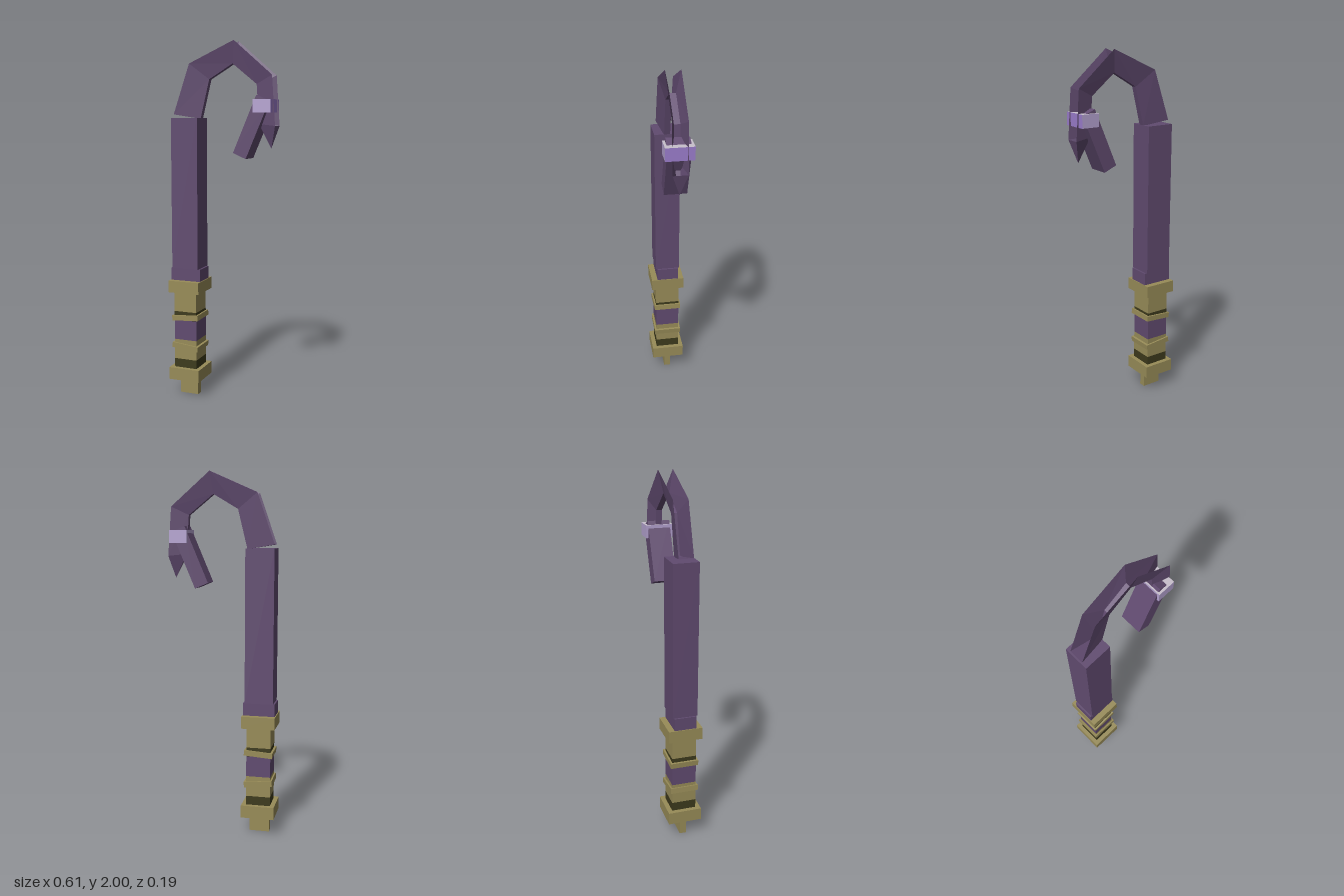
import * as THREE from 'three';

const mat = (name, color, extra = {}) => {
  const m = new THREE.MeshStandardMaterial({ color, ...extra });
  m.name = name;
  return m;
};

export function createModel() {
  const purple = mat('purple', 0x614b70);
  const hookPurple = mat('hookPurple', 0x614b70, { side: THREE.DoubleSide, flatShading: true });
  const gold = mat('gold', 0x988c58);
  const dark = mat('darkBronze', 0x3d3a1c);
  const lilac = mat('lilac', 0xb5a3d1);
  const violet = mat('violet', 0x9a7ccb);
  const pale = mat('paleGrey', 0xc8c0cc);

  const model = new THREE.Group();
  model.name = 'hookedCane';

  // box given by its x and y extents and its half depth
  const box = (name, x0, x1, y0, y1, halfZ, material, tilt = 0) => {
    const mesh = new THREE.Mesh(new THREE.BoxGeometry(x1 - x0, y1 - y0, halfZ * 2), material);
    mesh.position.set((x0 + x1) / 2, (y0 + y1) / 2, 0);
    mesh.rotation.z = tilt;
    mesh.name = name;
    model.add(mesh);
    return mesh;
  };

  // foot, guards and shaft
  box('peg', -0.268, -0.157, 0, 0.1, 0.019, gold);
  box('lowerGuard', -0.305, -0.12, 0.1, 0.17, 0.094, gold);
  box('upperGuard', -0.305, -0.12, 0.613, 0.68, 0.094, gold);
  box('collar', -0.3, -0.124, 0.68, 0.75, 0.061, purple);
  box('shaft', -0.291, -0.134, 0.75, 1.592, 0.069, purple);

  // grip in stacked colour bands
  const bands = [
    [0.17, 0.22, dark], [0.22, 0.335, gold], [0.335, 0.45, purple],
    [0.45, 0.5, dark], [0.5, 0.613, gold],
  ];
  bands.forEach(([y0, y1, m], i) => box('gripBand' + (i + 1), -0.28, -0.145, y0, y1, 0.068, m));

  // slightly tilted rings around the grip
  box('upperRing', -0.291, -0.133, 0.451, 0.481, 0.078, gold, 0.07);
  box('lowerRing', -0.291, -0.133, 0.28, 0.31, 0.078, gold, -0.1);

  // hook: a channel open along its outer side, [outerX, outerY, innerX, innerY]
  const sections = [
    [-0.287, 1.612, -0.135, 1.588],
    [-0.192, 1.885, -0.083, 1.8],
    [0.068, 2.0, 0.053, 1.88],
    [0.283, 1.815, 0.19, 1.77],
    [0.302, 1.55, 0.205, 1.56],
  ];
  const tip = [0.27, 1.43, 0];
  const corners = sections.map(([ox, oy, ix, iy]) => [
    [ox, oy, 0.04], [ix, iy, 0.016], [ix, iy, -0.016], [ox, oy, -0.04],
  ]);
  const pos = [];
  const tri = (a, b, c) => pos.push(...a, ...b, ...c);
  const quad = (a, b, c, d) => { tri(a, b, c); tri(a, c, d); };
  for (let i = 0; i < corners.length - 1; i++) {
    for (let k = 0; k < 3; k++) {
      quad(corners[i][k], corners[i][k + 1], corners[i + 1][k + 1], corners[i + 1][k]);
    }
  }
  quad(corners[0][3], corners[0][2], corners[0][1], corners[0][0]);
  const last = corners[corners.length - 1];
  for (let k = 0; k < 4; k++) tri(last[k], last[(k + 1) % 4], tip);
  const hookGeo = new THREE.BufferGeometry();
  hookGeo.setAttribute('position', new THREE.Float32BufferAttribute(pos, 3));
  hookGeo.computeVertexNormals();
  const hook = new THREE.Mesh(hookGeo, hookPurple);
  hook.name = 'hook';
  model.add(hook);

  // slanted stub hanging from the clasp
  const stub = box('stub', 0.135, 0.214, 1.377, 1.708, 0.061, purple, -0.403);
  stub.position.set(0.1745, 1.5425, 0);

  // clasp with differently coloured sides
  box('clasp', 0.187, 0.287, 1.62, 1.69, 0.074, [violet, lilac, pale, pale, lilac, lilac]);

  return model;
}
